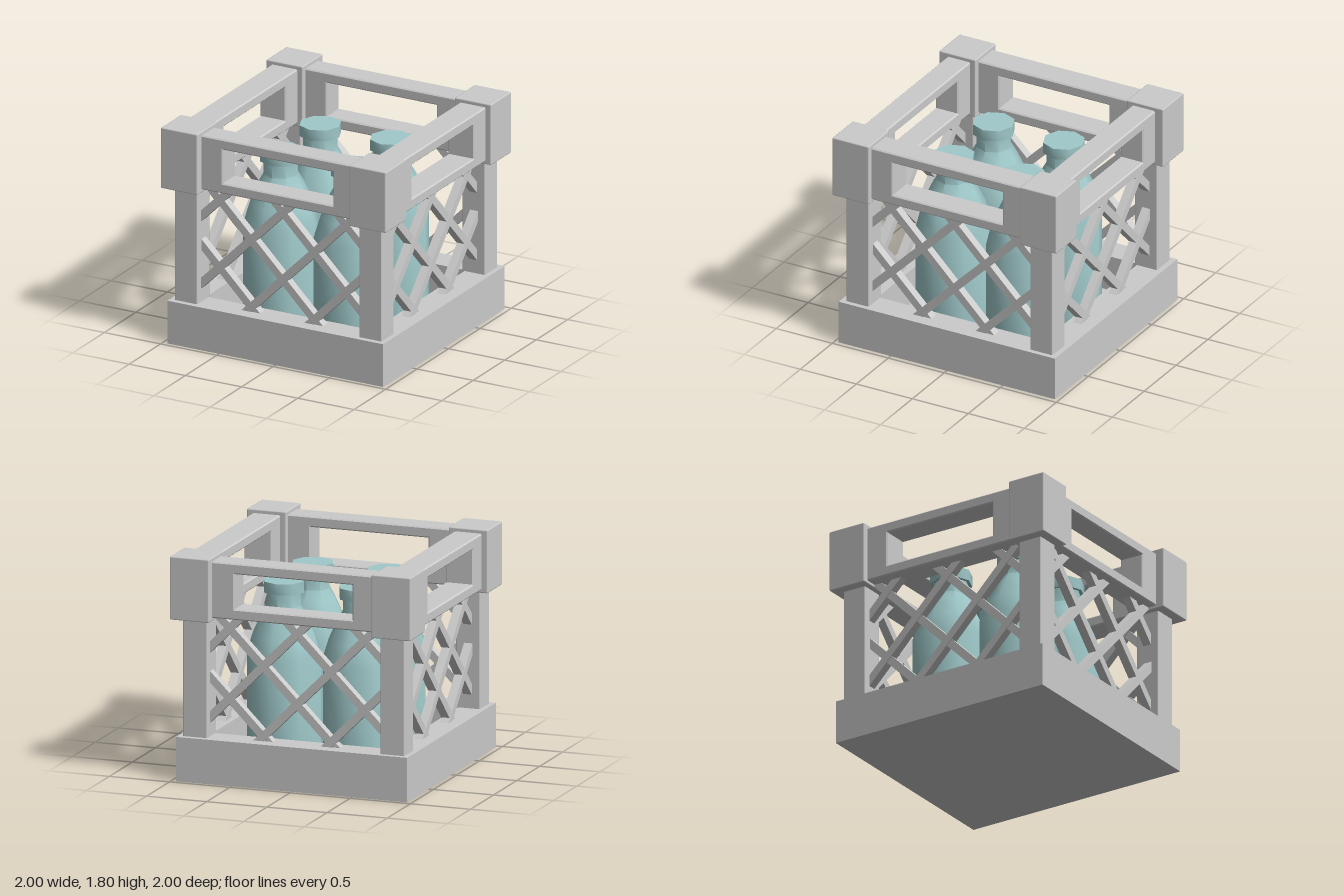
import * as THREE from 'three';
import { toCreasedNormals } from 'three/addons/utils/BufferGeometryUtils.js';
import { RoundedBoxGeometry } from 'three/addons/geometries/RoundedBoxGeometry.js';

const crateMat = new THREE.MeshStandardMaterial({ color: 0xcccccc });
const glassMat = new THREE.MeshStandardMaterial({ color: 0xa0c9ca });

function add(parent, name, geometry, x = 0, y = 0, z = 0, material = crateMat) {
  const mesh = new THREE.Mesh(geometry, material);
  mesh.name = name;
  mesh.position.set(x, y, z);
  parent.add(mesh);
  return mesh;
}

function rect(Type, x, y0, y1) {
  const p = new Type();
  p.moveTo(-x, y0);
  p.lineTo(x, y0);
  p.lineTo(x, y1);
  p.lineTo(-x, y1);
  p.closePath();
  return p;
}

// Rail with a hand-hold window, slightly bevelled, centred on z = 0
function railGeometry(thickness) {
  const b = 0.01;
  const shape = rect(THREE.Shape, 0.72, 1.32 + b, 1.77 - b);
  shape.holes.push(rect(THREE.Path, 0.49 + b, 1.405 - b, 1.685 + b));
  const g = new THREE.ExtrudeGeometry(shape, {
    depth: thickness - 2 * b, bevelThickness: b, bevelSize: b, bevelSegments: 1,
  });
  return g.translate(0, 0, b - thickness / 2);
}

// Diagonal slats: lines y = c + x and their mirror images, ending inside the frame
function addLattice(wall, z) {
  const lattice = new THREE.Group();
  lattice.name = 'lattice';
  wall.add(lattice);
  for (const side of [1, -1]) {
    for (const c of [0.11, 0.67, 1.23, 1.79]) {
      const x0 = Math.max(-0.725, 0.355 - c) - 0.04;
      const x1 = Math.min(0.725, 1.32 - c) + 0.04;
      const xm = (x0 + x1) / 2;
      const slat = add(lattice, 'slat',
        new THREE.BoxGeometry((x1 - x0) * Math.SQRT2, 0.064, 0.07),
        side * xm, c + xm, z + side * 0.003);
      slat.rotation.z = side * Math.PI / 4;
    }
  }
}

function bottleGeometry() {
  const profile = [
    [0, 0.06], [0.306, 0.06], [0.306, 0.93], [0.255, 1.09], [0.185, 1.24],
    [0.14, 1.32], [0.14, 1.43], [0.167, 1.43], [0.167, 1.52], [0, 1.52],
  ].map(([r, y]) => new THREE.Vector2(r, y));
  return toCreasedNormals(new THREE.LatheGeometry(profile, 8), 0.87);
}

export function createModel() {
  const crate = new THREE.Group();
  crate.name = 'bottleCrate';

  // Base tray: thick rim and floor
  const rim = rect(THREE.Shape, 0.96, -0.965, 0.965);
  rim.holes.push(rect(THREE.Path, 0.74, -0.74, 0.74));
  const rimGeometry = new THREE.ExtrudeGeometry(rim, { depth: 0.355, bevelEnabled: false });
  add(crate, 'baseRim', rimGeometry.rotateX(-Math.PI / 2));
  add(crate, 'baseFloor', new THREE.BoxGeometry(1.5, 0.06, 1.5), 0, 0.03, 0);

  // Corner posts with their larger top blocks
  const post = new RoundedBoxGeometry(0.2, 0.98, 0.2, 1, 0.008);
  const block = new RoundedBoxGeometry(0.325, 0.505, 0.325, 1, 0.01);
  for (const x of [-1, 1]) {
    for (const z of [-1, 1]) {
      add(crate, 'cornerPost', post, x * 0.82, 0.825, z * 0.82);
      add(crate, 'cornerBlock', block, x * 0.8375, 1.5475, z * 0.8375);
    }
  }

  // Four walls, each a rail above a lattice
  ['front', 'left', 'back', 'right'].forEach((name, i) => {
    const wall = new THREE.Group();
    wall.name = name + 'Wall';
    wall.rotation.y = i * Math.PI / 2;
    const isSide = i % 2 === 1;
    add(wall, 'handleRail', railGeometry(isSide ? 0.23 : 0.205), 0, 0, isSide ? 0.837 : 0.825);
    addLattice(wall, 0.82);
    crate.add(wall);
  });

  // Four bottles
  const bottle = bottleGeometry();
  for (const x of [-0.318, 0.31]) {
    for (const z of [-0.318, 0.308]) add(crate, 'bottle', bottle, x, 0, z, glassMat);
  }
  return crate;
}
